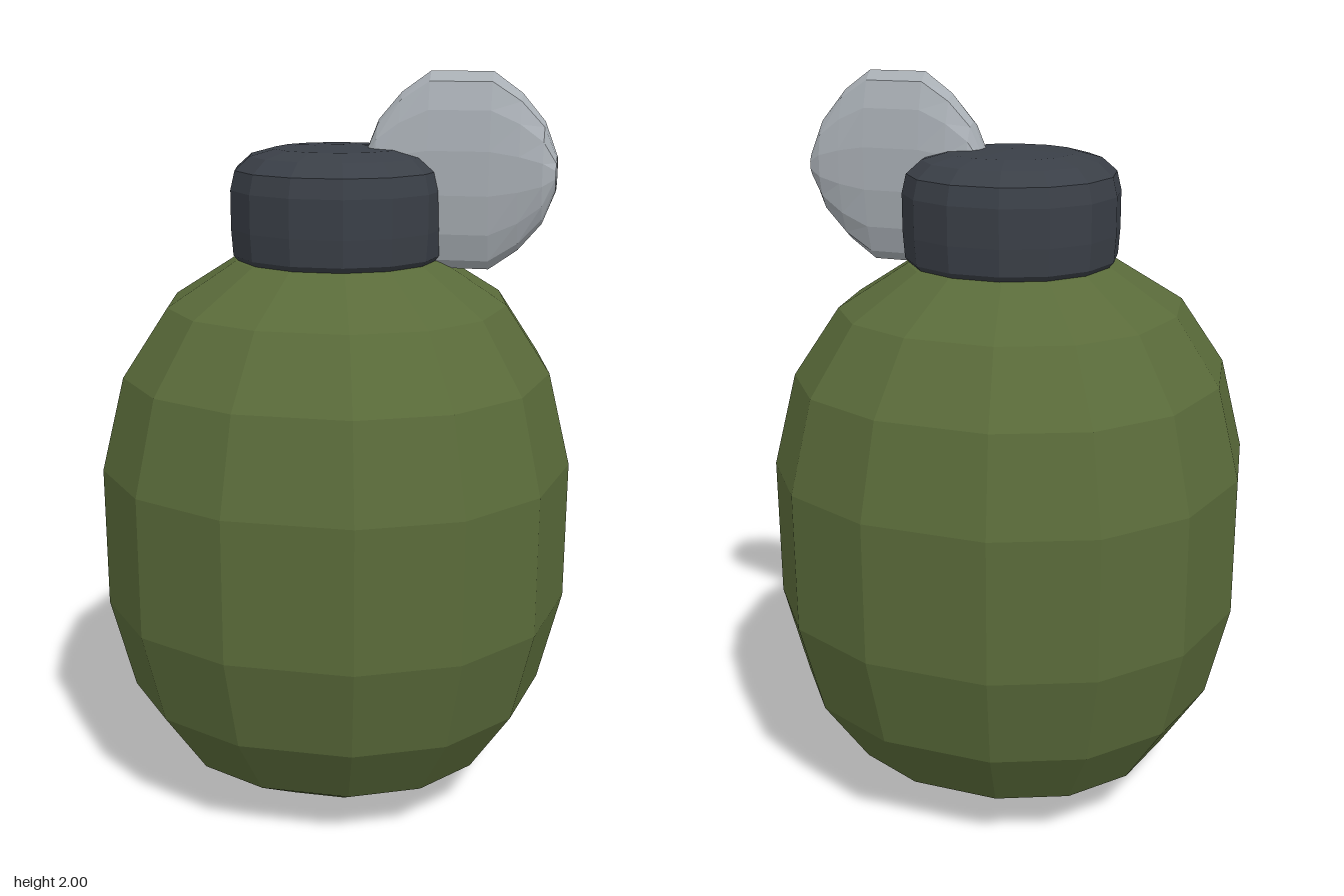
import * as THREE from 'three';

const SIDES = 14;

// Faceted loft along y. Each ring is [y, half width in x, half depth in z];
// power below 1 makes the cross-section slightly squarer than an ellipse.
function loft(rings, power) {
  const bend = (v) => Math.sign(v) * Math.abs(v) ** power;
  const point = (i, j) => {
    const a = ((j % SIDES) / SIDES) * Math.PI * 2;
    const [y, rx, rz] = rings[i];
    return [rx * bend(Math.cos(a)), y, rz * bend(Math.sin(a))];
  };
  const pos = [];
  for (let i = 0; i < rings.length - 1; i++) {
    for (let j = 0; j < SIDES; j++) {
      const a = point(i, j), b = point(i + 1, j);
      const c = point(i + 1, j + 1), d = point(i, j + 1);
      if (rings[i + 1][1] > 0) pos.push(...a, ...b, ...c);
      if (rings[i][1] > 0) pos.push(...a, ...c, ...d);
    }
  }
  const geometry = new THREE.BufferGeometry();
  geometry.setAttribute('position', new THREE.Float32BufferAttribute(pos, 3));
  geometry.computeVertexNormals();
  return geometry;
}

function material(name, color) {
  return new THREE.MeshStandardMaterial({ name, color, flatShading: true });
}

export function createModel() {
  const group = new THREE.Group();
  const add = (name, geometry, mat) => {
    const mesh = new THREE.Mesh(geometry, mat);
    mesh.name = name;
    group.add(mesh);
    return mesh;
  };
  const round = (profile) => profile.map(([y, r]) => [y, r, r]);

  // Barrel-shaped body
  add('body', loft(round([
    [0, 0], [0.04, 0.275], [0.15, 0.455], [0.335, 0.575], [0.59, 0.637],
    [0.97, 0.637], [1.22, 0.575], [1.4, 0.455], [1.515, 0.275], [1.55, 0],
  ]), 0.9), material('olive green', 0x5a6b3a));

  // Round-shouldered cap
  add('cap', loft(round([
    [1.505, 0], [1.51, 0.265], [1.53, 0.282], [1.6, 0.287], [1.7, 0.287],
    [1.75, 0.275], [1.785, 0.235], [1.803, 0.168], [1.81, 0],
  ]), 0.95), material('dark grey', 0x3a3f47));

  // Thin upright disc, lofted across x
  const half = [[0.25, 0, 0], [0.248, 0.045, 0.045], [0.215, 0.13, 0.058], [0.155, 0.2, 0.061], [0.08, 0.253, 0.062]];
  const rings = [
    ...half.map(([x, h, d]) => [-x, h, d]),
    ...half.slice().reverse(),
  ];
  const disc = add('disc', loft(rings, 1), material('light grey metal', 0xa9afb5));
  disc.rotation.z = -Math.PI / 2;
  disc.position.set(0.323, 1.747, 0);

  return group;
}
